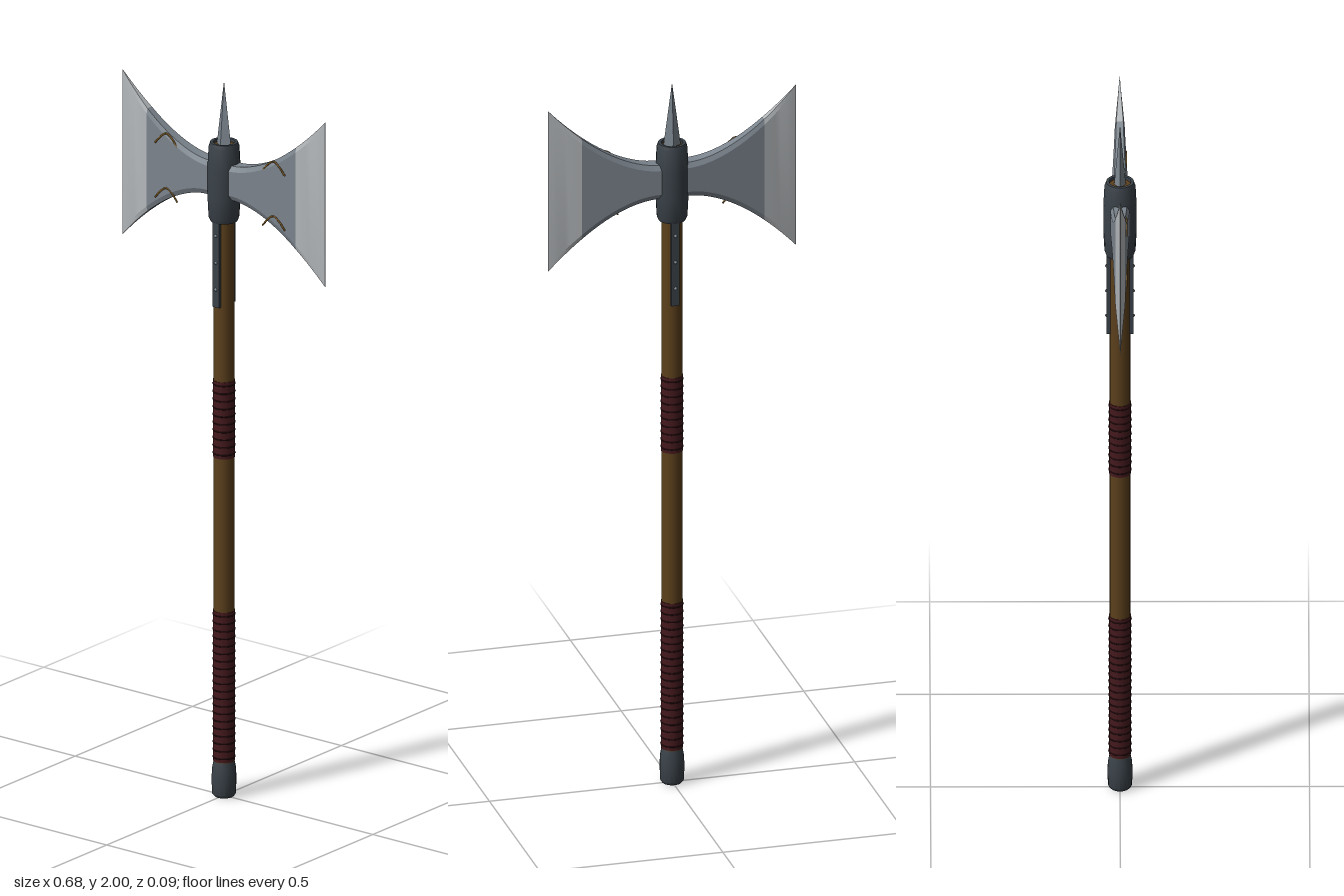
import * as THREE from 'three';
import { toCreasedNormals } from 'three/addons/utils/BufferGeometryUtils.js';

const mat = (name, color) => {
  const m = new THREE.MeshStandardMaterial({ color });
  m.name = name;
  return m;
};

export function createModel() {
  const steel = mat('blade steel', 0x7c858e);
  const edge = mat('honed edge', 0xb4b8bb);
  const iron = mat('dark iron', 0x3a4249);
  const wood = mat('haft wood', 0x5c401c);
  const leather = mat('red leather', 0x45191d);
  const cord = mat('wrap cord', 0x2a1012);
  const brass = mat('old brass', 0x7d5a22);
  const rivetSteel = mat('rivet steel', 0x7f8a94);

  const axe = new THREE.Group();
  axe.name = 'doubleAxe';
  const add = (name, geo, material, parent = axe) => {
    const m = new THREE.Mesh(geo, material);
    m.name = name;
    parent.add(m);
    return m;
  };
  const rod = (name, r, y0, y1, material) => {
    const m = add(name, new THREE.CylinderGeometry(r, r, y1 - y0, 16), material);
    m.position.y = (y0 + y1) / 2;
    return m;
  };
  const turned = (name, pts, material) => add(name, toCreasedNormals(
    new THREE.LatheGeometry(pts.map(p => new THREE.Vector2(...p)), 16), 0.7), material);

  // Haft and pommel
  rod('haft', 0.028, 0.05, 1.822, wood);
  turned('pommel', [[0, 0], [0.026, 0], [0.032, 0.008], [0.033, 0.05], [0.032, 0.078], [0.028, 0.098], [0, 0.1]], iron);

  // Leather grips with thin cord ridges
  for (const [name, y0, y1] of [['lowerGrip', 0.1, 0.52], ['upperGrip', 0.95, 1.165]]) {
    rod(name, 0.0295, y0, y1, leather);
    const n = Math.round((y1 - y0) / 0.021);
    for (let i = 0; i < n; i++) {
      const ring = add(name + 'Cord', new THREE.TorusGeometry(0.0293, 0.0018, 5, 20), cord);
      ring.rotation.x = Math.PI / 2;
      ring.position.y = y0 + (i + 0.5) * (y1 - y0) / n;
    }
  }

  // Barrel-shaped socket, open at the top around the haft
  turned('socket', [[0.028, 1.61], [0.036, 1.61], [0.041, 1.622], [0.044, 1.68], [0.044, 1.76],
    [0.041, 1.818], [0.037, 1.83], [0.029, 1.83], [0.028, 1.815]], iron);

  // Four-sided top spike
  const spikeGeo = new THREE.ConeGeometry(0.024, 0.18, 4).toNonIndexed();
  spikeGeo.computeVertexNormals();
  const spike = add('topSpike', spikeGeo, steel);
  spike.scale.z = 0.65;
  spike.position.y = 1.91;

  // Iron straps with rivets on the front and back of the haft
  for (const s of [1, -1]) {
    const strap = add('strap', new THREE.BoxGeometry(0.022, 0.245, 0.012), iron);
    strap.position.set(0, 1.4975, s * 0.029);
    for (const y of [1.425, 1.5, 1.575]) {
      const rivet = add('rivet', new THREE.SphereGeometry(0.0045, 8, 6), rivetSteel);
      rivet.position.set(0, y, s * 0.035);
    }
  }

  // Blade section: a flat plate with chamfered upper and lower rims
  const halfHeight = x => 0.048 + 0.182 * (Math.max(0, x - 0.04) / 0.3) ** 1.8;
  const halfThick = x => x < 0.25 ? 0.025 - 0.012 * (x - 0.04) / 0.21
    : 0.0005 + 0.0125 * ((0.34 - x) / 0.09) ** 0.85;
  const section = x => {
    const h = halfHeight(x), t = halfThick(x), e = t * 0.7, b = 0.014;
    return [[h, e], [h - b, t], [b - h, t], [-h, e], [-h, -e], [b - h, -t], [h - b, -t], [h, -e]]
      .map(([y, z]) => [x, y, z]);
  };
  const loft = (x0, x1, steps) => {
    const pos = [];
    const rings = [];
    for (let i = 0; i <= steps; i++) rings.push(section(x0 + (x1 - x0) * i / steps));
    for (let i = 0; i < steps; i++) {
      for (let j = 0; j < 8; j++) {
        const k = (j + 1) % 8;
        const a = rings[i][j], b = rings[i][k], c = rings[i + 1][k], d = rings[i + 1][j];
        pos.push(...a, ...b, ...c, ...a, ...c, ...d);
      }
    }
    // Outer end cap
    const end = rings[steps];
    for (let j = 1; j < 7; j++) pos.push(...end[0], ...end[j], ...end[j + 1]);
    const g = new THREE.BufferGeometry();
    g.setAttribute('position', new THREE.Float32BufferAttribute(pos, 3));
    return toCreasedNormals(g, 0.25);
  };
  const bodyGeo = loft(0.015, 0.25, 14);
  const edgeGeo = loft(0.25, 0.34, 6);
  for (const side of ['left', 'right']) {
    const blade = new THREE.Group();
    blade.name = side + 'Blade';
    blade.position.y = 1.727;
    if (side === 'right') blade.rotation.y = Math.PI;
    add('bladeBody', bodyGeo, steel, blade);
    add('cuttingEdge', edgeGeo, edge, blade);
    axe.add(blade);
  }

  // Small brass arches on the front of the blades
  for (const s of [1, -1]) {
    for (const y of [1.785, 1.632]) {
      const curve = new THREE.CatmullRomCurve3([[0.143, 0], [0.162, 0.022], [0.18, 0.033], [0.198, 0.022], [0.218, 0]]
        .map(([x, dy]) => new THREE.Vector3(s * x, y + dy, 0.0168)));
      add('brassArch', new THREE.TubeGeometry(curve, 14, 0.0025, 6), brass);
    }
  }
  return axe;
}
